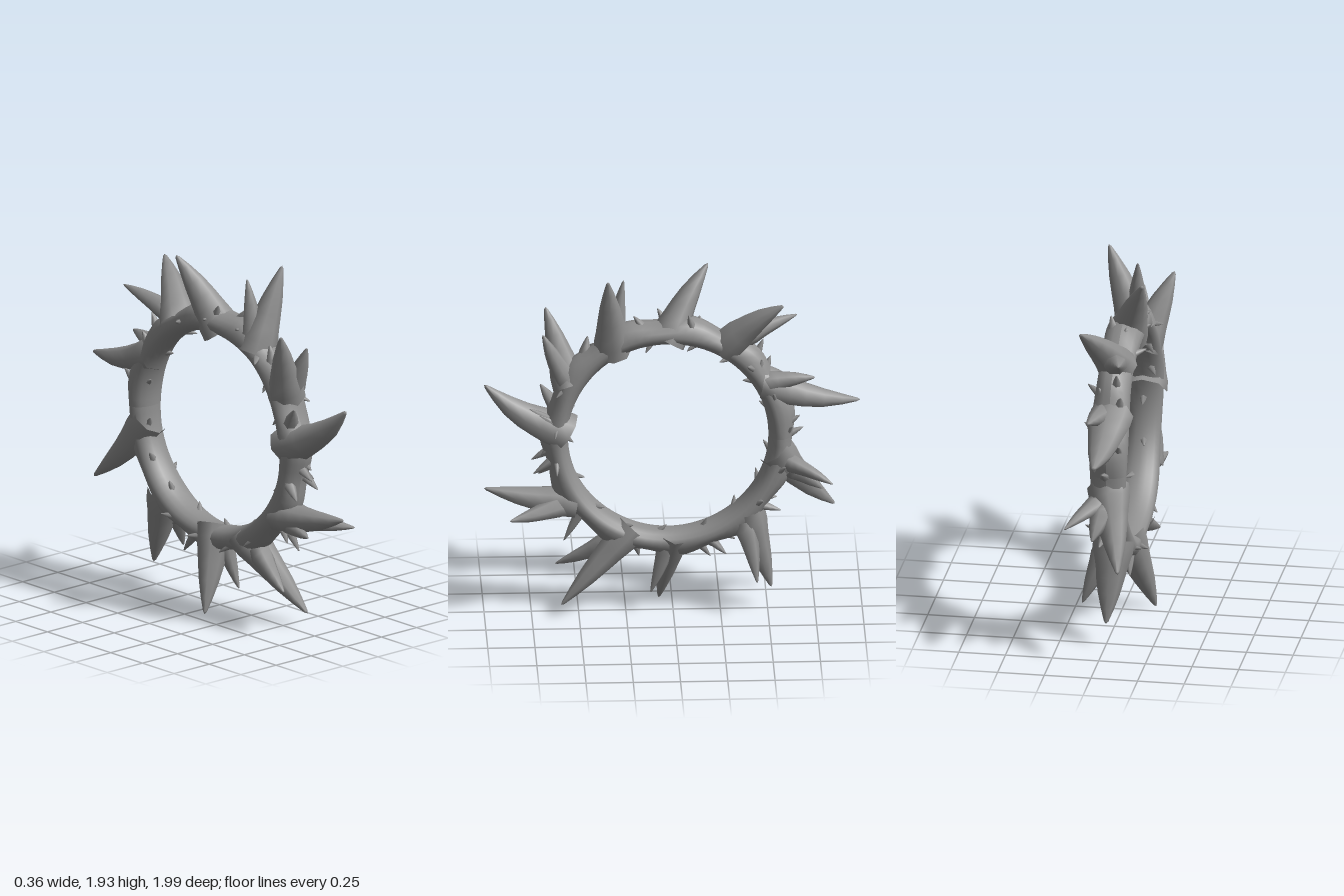
import * as THREE from 'three';

const CY = 0.99, CZ = 0.025, CX = -0.02, R = 0.592;

// Lofted thorn: a flared root that narrows to a blunt blade tip
const PROFILE = [[-0.06, 1.25], [0.1, 1.2], [0.25, 1.02], [0.42, 0.86], [0.62, 0.66], [0.82, 0.38], [0.97, 0.13]];
function thornGeometry(base, tip, inPlane, across, bend = 0, sides = 8) {
  const d = tip.clone().sub(base), len = d.length(), n = d.clone().normalize();
  const u = new THREE.Vector3(1, 0, 0).cross(n).normalize();
  const v = n.clone().cross(u);
  const pos = [], idx = [];
  PROFILE.forEach(([t, s]) => {
    const c = base.clone().addScaledVector(d, t).addScaledVector(u, bend * len * Math.sin(Math.PI * t));
    for (let j = 0; j < sides; j++) {
      const a = (j / sides) * Math.PI * 2;
      const p = c.clone().addScaledVector(u, Math.cos(a) * inPlane * s).addScaledVector(v, Math.sin(a) * across * s);
      pos.push(p.x, p.y, p.z);
    }
  });
  pos.push(tip.x, tip.y, tip.z);
  const last = PROFILE.length - 1, apex = PROFILE.length * sides;
  for (let i = 0; i <= last; i++) {
    for (let j = 0; j < sides; j++) {
      const k = (j + 1) % sides, a = i * sides + j, b = i * sides + k;
      if (i === last) idx.push(a, b, apex);
      else idx.push(a, b, b + sides, a, b + sides, a + sides);
    }
  }
  const g = new THREE.BufferGeometry();
  g.setAttribute('position', new THREE.Float32BufferAttribute(pos, 3));
  g.setIndex(idx);
  g.computeVertexNormals();
  return g;
}

export function createModel() {
  const group = new THREE.Group();
  const grey = new THREE.MeshStandardMaterial({ color: 0x8f8f8f });
  grey.name = 'grey';
  const add = (name, geometry) => {
    const m = new THREE.Mesh(geometry, grey);
    m.name = name;
    group.add(m);
  };
  const V = (x, y, z) => new THREE.Vector3(x, y, z);

  // Ring body: oval tube, slightly uneven on the outside
  const ring = new THREE.TorusGeometry(R, 0.062, 16, 88);
  ring.rotateY(Math.PI / 2);
  const p = ring.attributes.position;
  for (let i = 0; i < p.count; i++) {
    const y = p.getY(i), z = p.getZ(i), r = Math.hypot(y, z), a = Math.atan2(y, z);
    const k = r > R ? 1 + (r - R) * (0.25 + 0.25 * Math.sin(a * 11 + 1)) / r : 1;
    p.setXYZ(i, CX + p.getX(i) * (1.58 + 0.1 * Math.sin(a * 5)), CY + y * k, CZ + z * k);
  }
  ring.computeVertexNormals();
  add('ring', ring);

  // Large spikes: base y, z / tip x, y, z / half widths in plane and across / bend
  const large = [
    [1.03, 0.59, 0.0, 1.30, 1.0, 0.085, 0.1, 0.07],
    [1.30, 0.55, -0.17, 1.67, 0.67, 0.075, 0.085, 0],
    [1.50, 0.32, 0.13, 1.93, 0.35, 0.08, 0.085, 0],
    [1.55, 0.02, -0.14, 1.92, -0.19, 0.08, 0.09, 0.03],
    [1.51, -0.30, 0.13, 1.78, -0.58, 0.075, 0.09, 0.03],
    [1.28, -0.50, -0.01, 1.18, -0.99, 0.075, 0.095, -0.06],
    [0.89, -0.55, -0.12, 0.54, -0.86, 0.08, 0.09, -0.04],
    [0.53, -0.40, 0.0, 0.12, -0.52, 0.075, 0.09, 0],
    [0.42, -0.01, -0.17, 0.0, 0.07, 0.07, 0.09, 0],
    [0.44, 0.24, 0.09, 0.07, 0.595, 0.075, 0.09, 0],
    [0.62, 0.54, -0.02, 0.70, 1.0, 0.07, 0.09, 0.03],
  ];
  large.forEach(([by, bz, tx, ty, tz, w, a, b], i) =>
    add('largeSpike' + (i + 1), thornGeometry(V(CX, by, bz), V(tx, ty, tz), w, a, b)));

  // Side spikes branching beside the large ones: base x, y, z / tip x, y, z / half width
  const side = [
    [0, 1.32, 0.56, 0.0, 1.58, 0.69, 0.055],
    [-0.03, 1.36, 0.47, -0.05, 1.55, 0.45, 0.045],
    [-0.03, 1.52, 0.30, -0.04, 1.87, 0.26, 0.05],
    [-0.03, 1.55, -0.40, -0.09, 1.64, -0.66, 0.045],
    [0.02, 1.30, -0.50, 0.06, 1.34, -0.75, 0.05],
    [0.03, 0.84, -0.62, 0.17, 0.77, -0.84, 0.04],
    [0, 0.80, -0.64, 0.03, 0.69, -0.79, 0.05],
    [0.03, 0.48, -0.38, 0.14, 0.20, -0.44, 0.05],
    [0, 0.40, 0.03, 0.03, 0.11, 0.12, 0.045],
    [-0.03, 0.37, 0.36, -0.10, 0.23, 0.62, 0.045],
    [0.02, 0.61, 0.60, 0.18, 0.59, 0.87, 0.05],
    [-0.04, 0.59, 0.60, -0.11, 0.58, 0.82, 0.04],
    [-0.05, 1.13, 0.60, -0.10, 1.26, 0.70, 0.04],
    [0.03, 1.08, 0.62, 0.03, 1.17, 0.76, 0.035],
  ];
  side.forEach(([bx, by, bz, tx, ty, tz, w], i) =>
    add('sideSpike' + (i + 1), thornGeometry(V(bx, by, bz), V(tx, ty, tz), w, w * 1.15, 0.02, 7)));

  // Small outer thorns: tip y, z; roots sit on the ring and lean with the swirl
  const small = [
    [0.86, 0.75], [0.80, 0.74], [0.75, 0.71], [0.90, 0.70], [1.68, 0.21], [1.69, 0.08], [1.70, -0.08],
    [1.66, -0.14], [1.52, -0.48], [1.44, -0.47], [1.41, -0.52], [1.03, -0.69], [1.11, -0.67], [1.18, -0.65],
    [0.57, -0.57], [0.63, -0.55], [0.27, -0.20], [0.33, -0.28], [0.35, -0.14], [0.38, -0.33],
    [0.42, 0.58], [0.50, 0.63], [0.31, 0.18], [0.35, -0.24],
  ];
  small.forEach(([y, z], i) => {
    const a = Math.atan2(y - CY, z - CZ) + 0.09;
    const x = CX + 0.07 * Math.sin(i * 2.3);
    add('smallThorn' + (i + 1), thornGeometry(
      V(CX + (x - CX) * 0.6, CY + Math.sin(a) * R, CZ + Math.cos(a) * R), V(x, y, z), 0.028, 0.034, 0, 6));
  });

  // Tiny barbs around the flanks and the inner rim
  for (let i = 0; i < 34; i++) {
    const a = i * 2.39996, inner = i % 2 === 0;
    const b = inner ? Math.PI + 0.6 * Math.sin(i * 1.7) : (i % 4 === 1 ? 1 : -1) * (1.1 + 0.4 * Math.sin(i));
    const at = (ang, s) => {
      const r = R + Math.cos(b) * 0.062 * s;
      return V(CX + Math.sin(b) * 0.1 * s, CY + Math.sin(ang) * r, CZ + Math.cos(ang) * r);
    };
    add('barb' + (i + 1), thornGeometry(at(a, 0.8), at(a - 0.07, inner ? 1.45 : 1.4), 0.014, 0.018, 0, 5));
  }
  return group;
}
